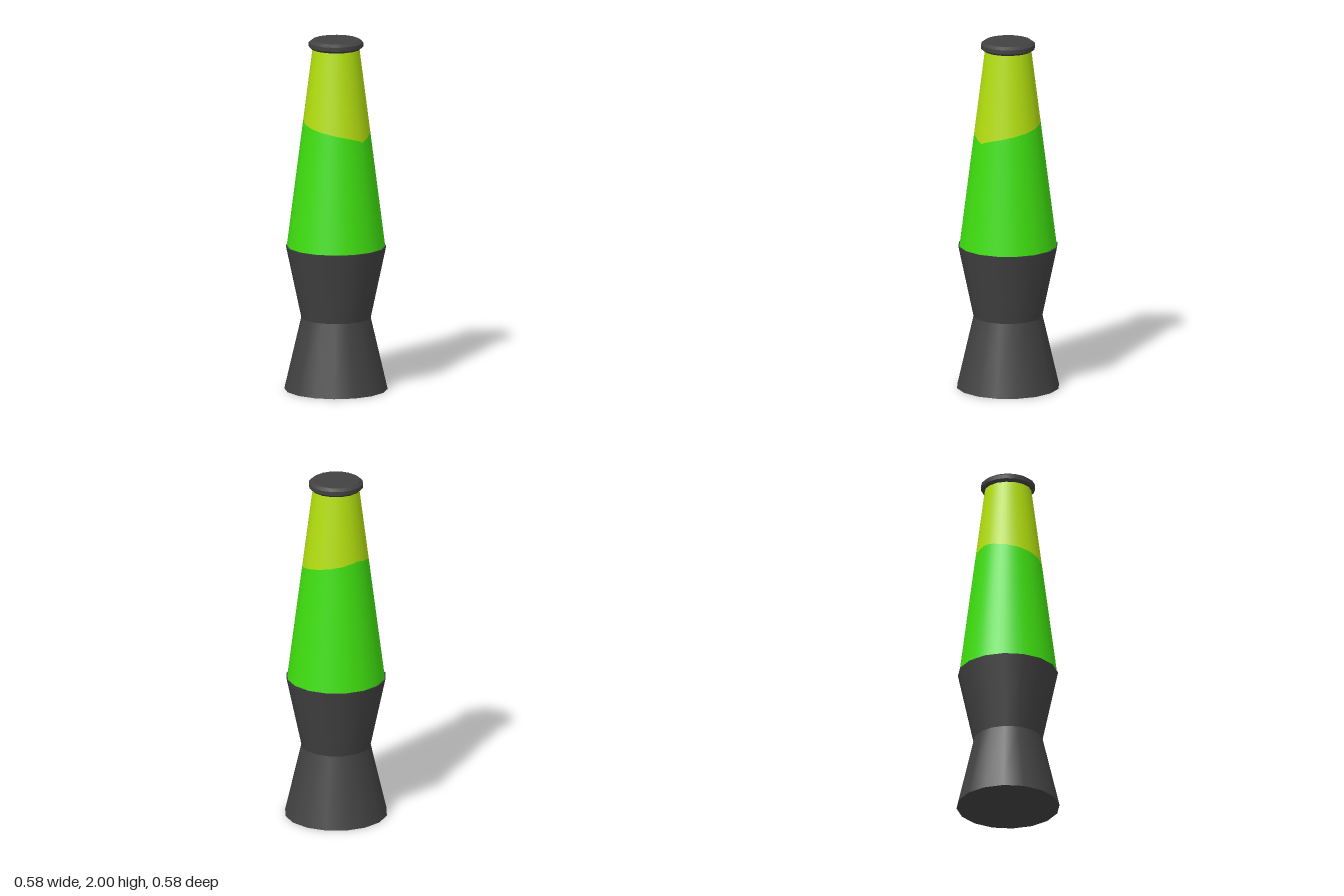
import * as THREE from 'three';

const SIDES = 16;

const dark = new THREE.MeshStandardMaterial({ color: 0x424242 });
dark.name = 'charcoal';
const green = new THREE.MeshStandardMaterial({ color: 0x40e010 });
green.name = 'green liquid';
const yellow = new THREE.MeshStandardMaterial({ color: 0xb4e010 });
yellow.name = 'yellow liquid';

// Stack of sharp-edged rings through [radius, y] points, bottom to top
function stack(name, points, material) {
  const group = new THREE.Group();
  group.name = name;
  for (let i = 0; i < points.length - 1; i++) {
    const [r0, y0] = points[i];
    const [r1, y1] = points[i + 1];
    const ring = new THREE.Mesh(new THREE.CylinderGeometry(r1, r0, y1 - y0, SIDES, 1, true), material);
    ring.position.y = (y0 + y1) / 2;
    ring.name = `${name}Ring${i + 1}`;
    group.add(ring);
  }
  // Close both ends
  [[points[0], Math.PI / 2], [points[points.length - 1], -Math.PI / 2]].forEach(([[r, y], tilt], i) => {
    const disc = new THREE.Mesh(new THREE.CircleGeometry(r, SIDES), material);
    disc.rotation.x = tilt;
    disc.position.y = y;
    disc.name = name + (i ? 'Top' : 'Underside');
    group.add(disc);
  });
  return group;
}

// Tapered 16-sided bottle
const BOTTOM = 0.82, TOP = 1.955, R_BOTTOM = 0.276, R_TOP = 0.131;
const SLOPE = (R_BOTTOM - R_TOP) / (TOP - BOTTOM);

function bottleRadius(y, angle) {
  const step = (2 * Math.PI) / SIDES;
  const within = ((angle % step) + step) % step;
  const r = R_BOTTOM - SLOPE * (y - BOTTOM);
  return (r * Math.cos(step / 2)) / Math.cos(within - step / 2);
}

// Tilted liquid line, lowest at the front corner on the +x side
function liquidLine(angle) {
  let d = Math.abs(angle - THREE.MathUtils.degToRad(37.5));
  if (d > Math.PI) d = 2 * Math.PI - d;
  return 1.435 + 0.125 * Math.pow(d / Math.PI, 0.75);
}

// Band of the bottle between two heights, each a function of angle
function bottleBand(name, low, high, material) {
  const geo = new THREE.CylinderGeometry(1, 1, 1, SIDES * 3, 1, true);
  const pos = geo.attributes.position;
  const normal = new THREE.Vector3();
  for (let i = 0; i < pos.count; i++) {
    const angle = Math.atan2(pos.getZ(i), pos.getX(i));
    const y = pos.getY(i) > 0 ? high(angle) : low(angle);
    const r = bottleRadius(y, angle);
    pos.setXYZ(i, r * Math.cos(angle), y, r * Math.sin(angle));
    normal.set(Math.cos(angle), SLOPE, Math.sin(angle)).normalize();
    geo.attributes.normal.setXYZ(i, normal.x, normal.y, normal.z);
  }
  const mesh = new THREE.Mesh(geo, material);
  mesh.name = name;
  return mesh;
}

export function createModel() {
  const model = new THREE.Group();
  model.name = 'lavaLamp';

  // Waisted stand
  model.add(stack('base', [[0.29, 0], [0.195, 0.41], [0.282, 0.82]], dark));

  // Two-coloured bottle
  model.add(bottleBand('lowerLiquid', () => BOTTOM, liquidLine, green));
  model.add(bottleBand('upperLiquid', liquidLine, () => TOP, yellow));

  // Bevelled cap
  model.add(stack('cap', [[0.14, 1.95], [0.153, 1.962], [0.153, 1.985], [0.133, 2]], dark));

  return model;
}
